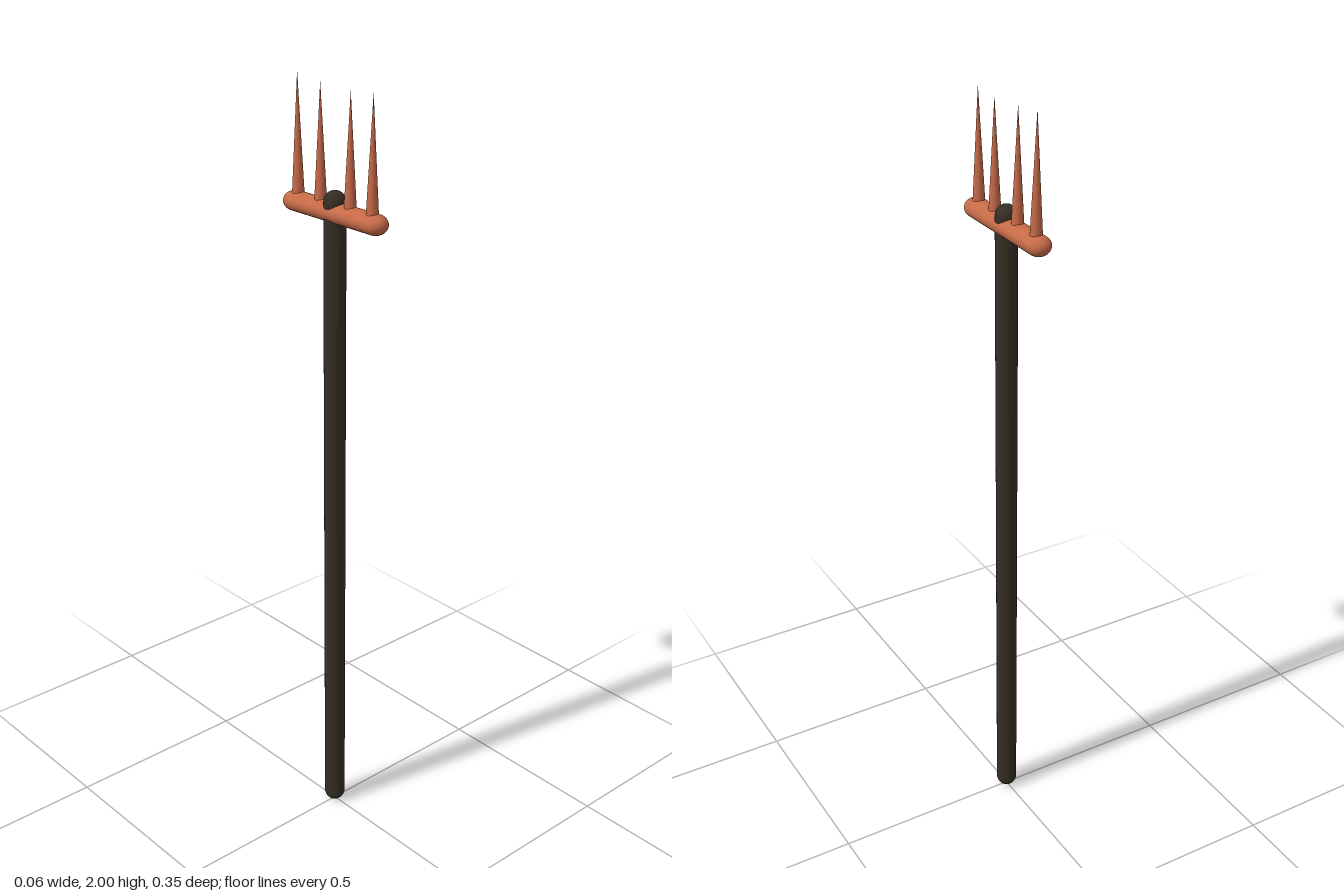
import * as THREE from 'three';

export function createModel() {
  const model = new THREE.Group();
  model.name = 'pitchfork';

  const darkWood = new THREE.MeshStandardMaterial({ color: 0x352e24 });
  darkWood.name = 'dark wood';
  const copper = new THREE.MeshStandardMaterial({ color: 0xc66a48 });
  copper.name = 'copper';

  const add = (name, geometry, material, x, y, z) => {
    const mesh = new THREE.Mesh(geometry, material);
    mesh.name = name;
    mesh.position.set(x, y, z);
    model.add(mesh);
    return mesh;
  };

  // Round-ended rod, standing along y
  const rod = (radius, length) =>
    new THREE.CapsuleGeometry(radius, length - 2 * radius, 10, 32);

  // Shaft from the ground to just above the crossbar
  add('shaft', rod(0.0275, 1.74), darkWood, 0, 0.87, 0);

  // Crossbar along z, slightly flattened in height
  const barGeometry = rod(0.0305, 0.346);
  barGeometry.rotateX(Math.PI / 2);
  barGeometry.scale(1, 0.82, 1);
  add('crossbar', barGeometry, copper, 0, 1.687, -0.001);

  // Tines: [z, tip height]
  const tines = [[-0.133, 2.0], [-0.051, 1.987], [0.054, 1.98], [0.13, 1.987]];
  const base = 1.695;
  tines.forEach(([z, tip], i) => {
    const height = tip - base;
    add(`tine${i + 1}`, new THREE.ConeGeometry(0.0158, height, 32), copper, 0, base + height / 2, z);
  });

  return model;
}
